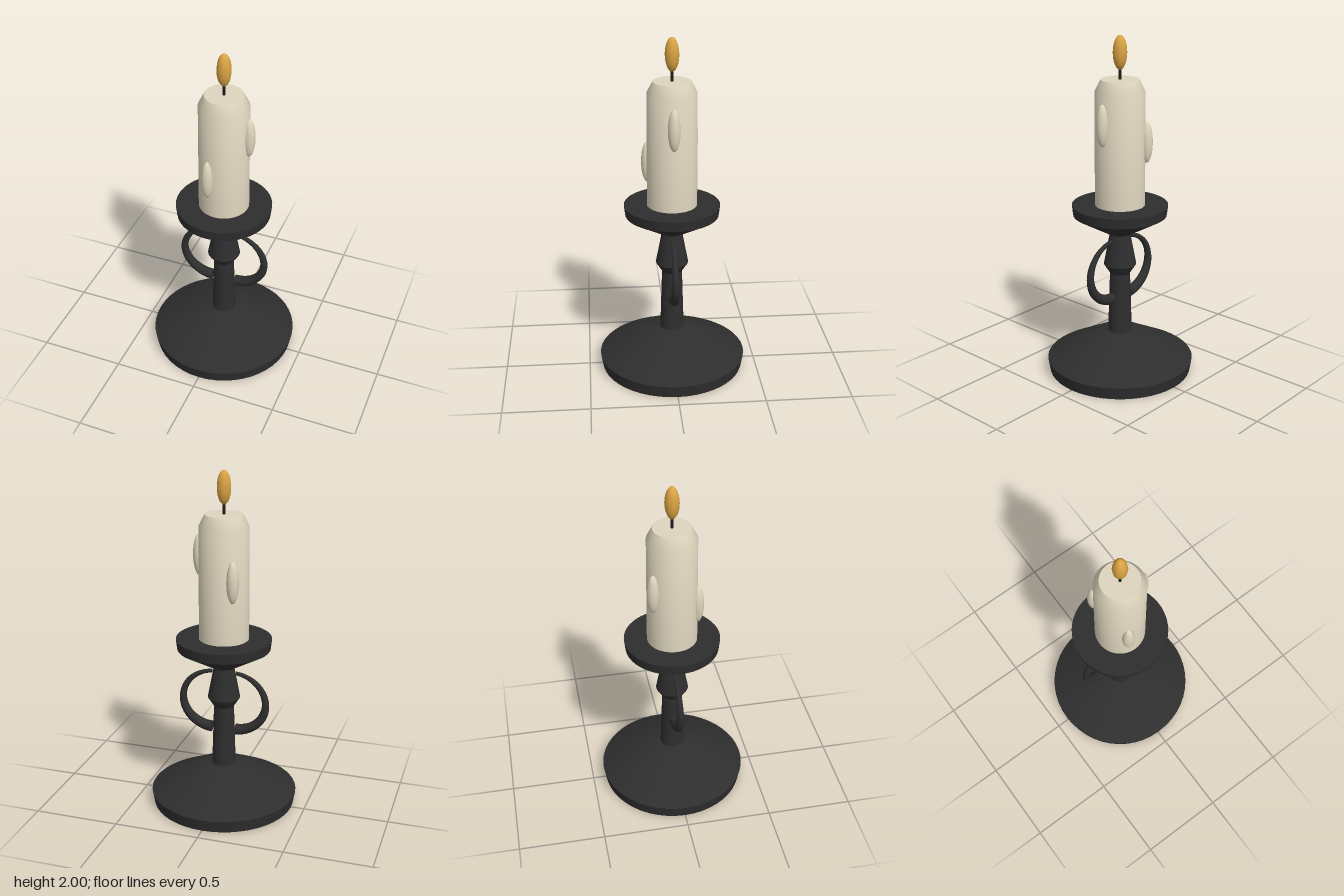
import * as THREE from 'three';
import { toCreasedNormals } from 'three/addons/utils/BufferGeometryUtils.js';
import { ParametricGeometry } from 'three/addons/geometries/ParametricGeometry.js';

const material = (name, color) => {
  const m = new THREE.MeshStandardMaterial({ color });
  m.name = name;
  return m;
};

export function createModel() {
  const model = new THREE.Group();
  model.name = 'candlestick';
  const iron = material('dark iron', 0x2e2e2e);
  const wax = material('cream wax', 0xded5bd);
  const flameColor = material('amber flame', 0xdba544);
  const wickColor = material('black wick', 0x1c1c1c);

  const add = (name, geometry, mat, parent = model) => {
    const mesh = new THREE.Mesh(geometry, mat);
    mesh.name = name;
    parent.add(mesh);
    return mesh;
  };
  // Turned part from [radius, height] pairs, listed bottom to top
  const turned = (name, profile, mat, segments = 48) => {
    const points = profile.map(([r, y]) => new THREE.Vector2(r, y));
    return add(name, toCreasedNormals(new THREE.LatheGeometry(points, segments), 0.6), mat);
  };

  // Iron stand
  turned('base', [[0, 0], [0.42, 0], [0.433, 0.074], [0.12, 0.243], [0, 0.243]], iron);
  turned('stem', [[0.071, 0.23], [0.058, 0.64]], iron, 32);
  turned('knop', [[0, 0.6], [0.056, 0.605], [0.095, 0.665], [0.058, 0.86]], iron, 32);
  turned('dripCup', [[0, 0.853], [0.065, 0.853], [0.27, 0.97], [0.277, 1.03], [0, 1.03]], iron);

  // Curved handles, thin at the top and thicker at the bottom
  const start = 1.5, end = -1.49;
  const tubeRadius = (u) => 0.011 + 0.022 * u;
  const handlePoint = (u, v, target) => {
    const a = start + (end - start) * u;
    const b = v * Math.PI * 2;
    const t = tubeRadius(u);
    const offset = t * Math.cos(b) - t;
    target.set(
      0.06 + (0.215 + offset) * Math.cos(a),
      0.63 + (0.2 + offset) * Math.sin(a),
      -t * Math.sin(b)
    );
  };
  const handleGeometry = new ParametricGeometry(handlePoint, 32, 12);
  const handleMaterial = iron;
  handleMaterial.side = THREE.DoubleSide;
  for (const [name, turn] of [['leftHandle', 0], ['rightHandle', Math.PI]]) {
    const handle = new THREE.Group();
    handle.name = name;
    handle.rotation.y = turn;
    add('handleArc', handleGeometry, handleMaterial, handle);
    for (const u of [0, 1]) {
      const a = u ? end : start;
      const t = tubeRadius(u);
      const cap = add('handleEnd', new THREE.CircleGeometry(t, 12), handleMaterial, handle);
      cap.position.set(0.06 + (0.215 - t) * Math.cos(a), 0.63 + (0.2 - t) * Math.sin(a), 0);
      cap.rotation.y = -Math.PI / 2;
    }
    model.add(handle);
  }

  // Candle with a sloped shoulder
  turned('candle', [[0, 1.0], [0.145, 1.0], [0.141, 1.69], [0.108, 1.755], [0, 1.755]], wax);

  // Wax drips: direction around the candle and height
  for (const [x, y, z] of [[0.146, 1.515, 0], [-0.045, 1.275, 0.138], [-0.088, 1.4, -0.122]]) {
    const drip = add('waxDrip', new THREE.SphereGeometry(1, 20, 16), wax);
    drip.scale.set(0.035, 0.12, 0.035);
    drip.position.set(x, y, z);
  }

  // Wick and flame
  const wick = add('wick', new THREE.CylinderGeometry(0.009, 0.009, 0.1, 10), wickColor);
  wick.position.y = 1.79;
  const flame = add('flame', new THREE.SphereGeometry(1, 10, 12), flameColor);
  flame.scale.set(0.041, 0.096, 0.041);
  flame.position.y = 1.904;

  return model;
}
